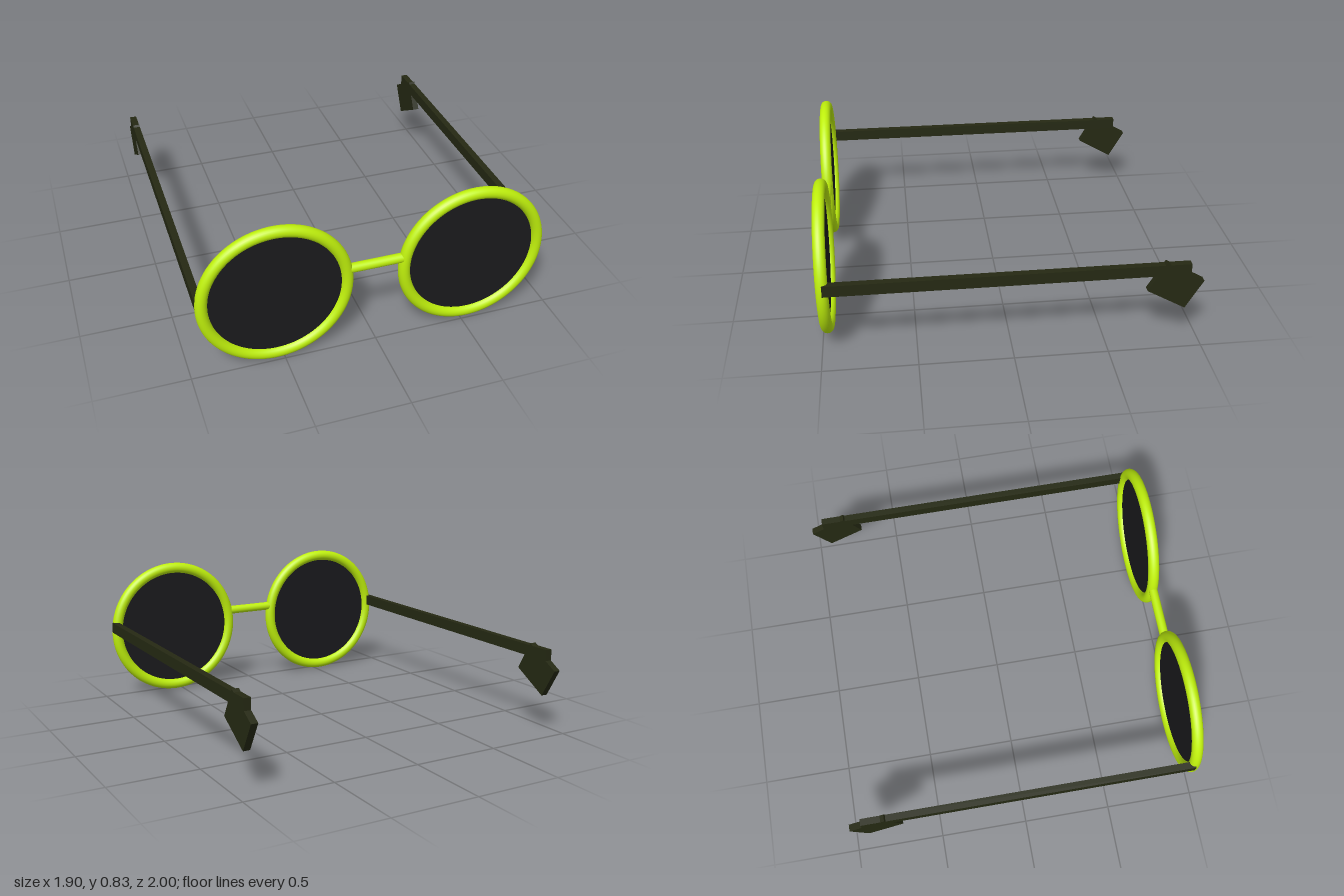
import * as THREE from 'three';

export function createModel() {
  const model = new THREE.Group();
  model.name = 'roundGlasses';

  const frameMat = new THREE.MeshStandardMaterial({ color: 0xbff00c });
  const lensMat = new THREE.MeshStandardMaterial({ color: 0x1a1a1d });
  const templeMat = new THREE.MeshStandardMaterial({ color: 0x252913 });

  const add = (name, geometry, material, x, y, z) => {
    const mesh = new THREE.Mesh(geometry, material);
    mesh.name = name;
    mesh.position.set(x, y, z);
    model.add(mesh);
    return mesh;
  };

  const frontZ = 0.968, rimY = 0.413, rimX = 0.537, rimR = 0.381, tube = 0.032;

  // Shared shapes for both sides
  const rim = new THREE.TorusGeometry(rimR, tube, 24, 96);
  const lens = new THREE.CylinderGeometry(rimR, rimR, 0.013, 64).rotateX(Math.PI / 2);
  const arm = new THREE.BoxGeometry(0.038, 0.063, 1.893);
  const tip = new THREE.BoxGeometry(0.038, 0.186, 0.238);

  for (const [side, s] of [['left', 1], ['right', -1]]) {
    add(side + 'Rim', rim, frameMat, s * rimX, rimY, frontZ);
    add(side + 'Lens', lens, lensMat, s * rimX, rimY, frontZ);
    // Straight temple arm with a tilted ear tip
    add(side + 'Temple', arm, templeMat, s * 0.931, 0.449, 0.0205);
    add(side + 'EarTip', tip, templeMat, s * 0.931, 0.353, -0.85).rotation.x = -Math.PI / 6;
  }

  // Bridge between the rims
  const bridge = new THREE.CylinderGeometry(0.026, 0.026, 0.31, 24).rotateZ(Math.PI / 2);
  add('bridge', bridge, frameMat, 0, 0.48, frontZ);

  return model;
}
